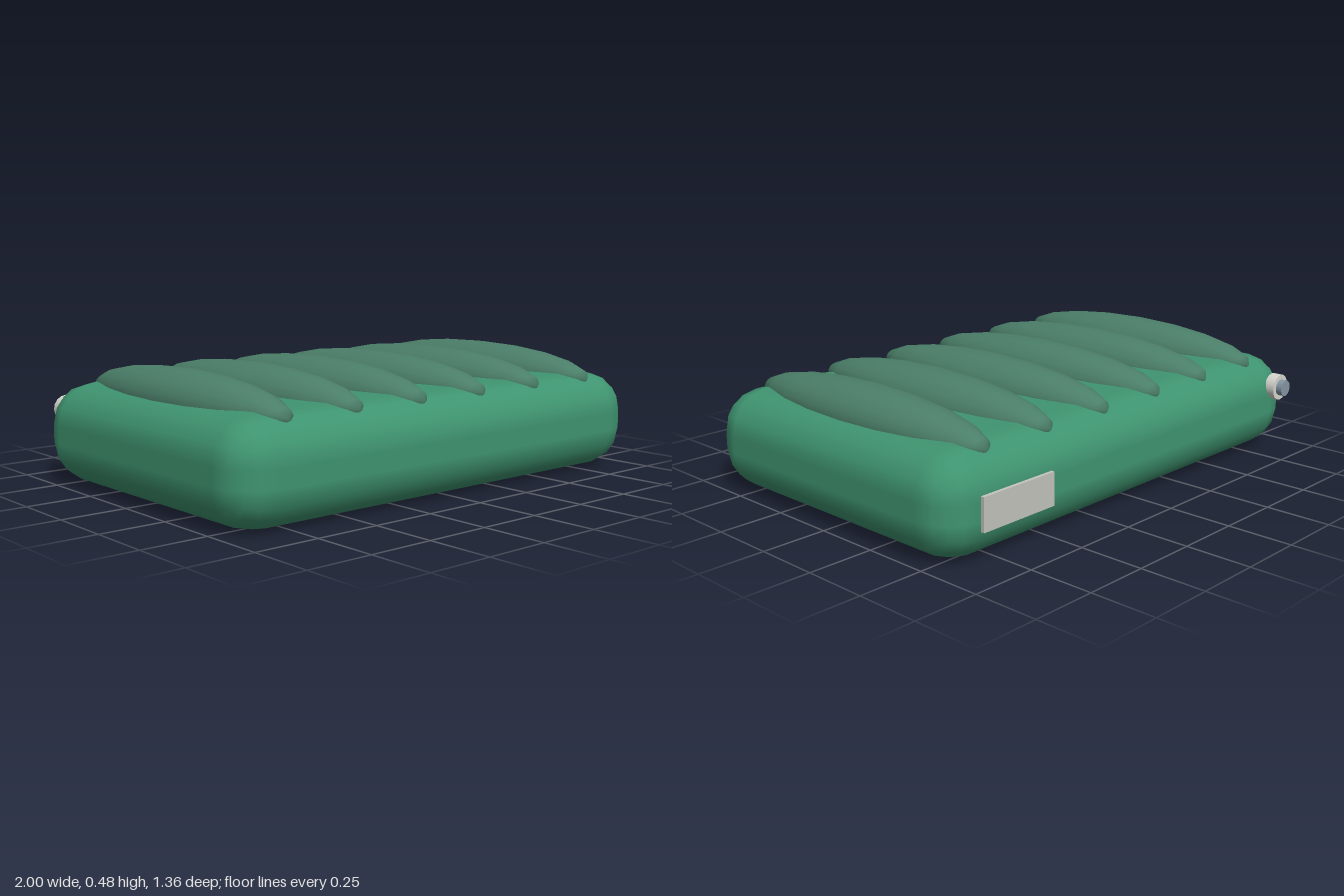
import * as THREE from 'three';
import { RoundedBoxGeometry } from 'three/addons/geometries/RoundedBoxGeometry.js';

const mat = (color) => new THREE.MeshStandardMaterial({ color });

export function createModel() {
  const group = new THREE.Group();
  const bodyMat = mat(0x3f9470);
  const ridgeMat = mat(0x4b7f69);
  const lightMat = mat(0xd6d6d0);
  const labelMat = mat(0xc4c4be);
  const plugMat = mat(0x8496a4);

  const add = (name, geometry, material, x, y, z, parent = group) => {
    const mesh = new THREE.Mesh(geometry, material);
    mesh.name = name;
    mesh.position.set(x, y, z);
    parent.add(mesh);
    return mesh;
  };

  // Soft, rounded mattress body
  const midZ = 0.025;
  add('body', new RoundedBoxGeometry(2, 0.385, 1.31, 2, 0.16), bodyMat, 0, 0.1925, midZ);

  // Six long air chambers running front to back, poles along z
  const ridgeGeometry = new THREE.SphereGeometry(1, 20, 10);
  ridgeGeometry.rotateX(Math.PI / 2);
  ridgeGeometry.scale(0.135, 0.111, 0.593);
  for (let i = 0; i < 6; i++) {
    add('airChamber' + (i + 1), ridgeGeometry, ridgeMat, (i - 2.5) * 0.304, 0.366, midZ);
  }

  // Inflation valve at the back: collar and plug
  const valve = new THREE.Group();
  valve.name = 'valve';
  valve.position.set(-0.868, 0.265, 0);
  group.add(valve);
  const disc = (radius, depth) =>
    new THREE.CylinderGeometry(radius, radius, depth, 16).rotateX(Math.PI / 2);
  add('valveCollar', disc(0.053, 0.042), lightMat, 0, 0, -0.634, valve);
  add('valvePlug', disc(0.033, 0.05), plugMat, 0, 0, -0.655, valve);

  // Blank label on the back wall
  add('label', new THREE.BoxGeometry(0.335, 0.122, 0.014), labelMat, 0.687, 0.188, -0.636);

  return group;
}
